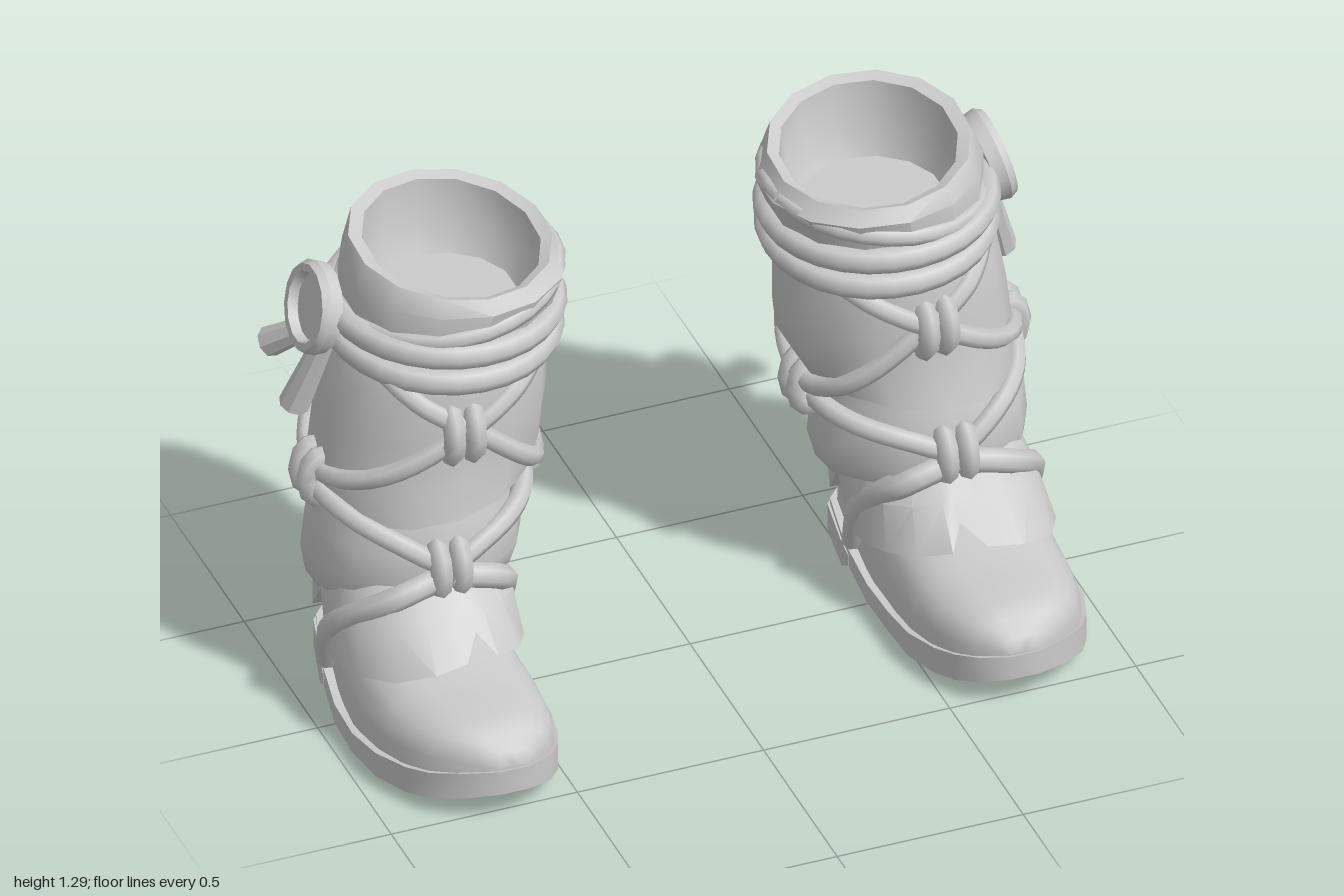
import * as THREE from 'three';
import { toCreasedNormals } from 'three/addons/utils/BufferGeometryUtils.js';

const mat = new THREE.MeshStandardMaterial({ color: 0xcccccc, side: THREE.DoubleSide });
const V = (x, y, z) => new THREE.Vector3(x, y, z);
const SIDES = 14;

function add(group, name, geo, crease = 0.7) {
  const m = new THREE.Mesh(crease ? toCreasedNormals(geo, crease) : geo, mat);
  m.name = name;
  group.add(m);
  return m;
}

// Skin a list of closed rings, with optional fans over the ends
function loft(rings, capStart = false, capEnd = false) {
  const n = rings[0].length, pos = [], idx = [];
  rings.forEach(r => r.forEach(p => pos.push(p.x, p.y, p.z)));
  for (let i = 0; i < rings.length - 1; i++)
    for (let j = 0; j < n; j++) {
      const a = i * n + j, b = i * n + (j + 1) % n;
      idx.push(a, b, b + n, a, b + n, a + n);
    }
  const cap = (ri, flip) => {
    const c = rings[ri].reduce((s, p) => s.add(p), V(0, 0, 0)).divideScalar(n);
    const k = pos.length / 3;
    pos.push(c.x, c.y, c.z);
    for (let j = 0; j < n; j++) {
      const a = ri * n + j, b = ri * n + (j + 1) % n;
      flip ? idx.push(k, b, a) : idx.push(k, a, b);
    }
  };
  if (capStart) cap(0, true);
  if (capEnd) cap(rings.length - 1, false);
  const g = new THREE.BufferGeometry();
  g.setAttribute('position', new THREE.Float32BufferAttribute(pos, 3));
  g.setIndex(idx);
  g.computeVertexNormals();
  return g;
}

// Horizontal section [y, x0, x1, z0, z1, tiltToSide, tiltToFront]; angle 0 = front, 90 = outer side
function onSection([y, x0, x1, z0, z1, tx = 0, tz = 0], a, off = 0) {
  const s = Math.sin(a), c = Math.cos(a);
  return V((x0 + x1) / 2 + ((x1 - x0) / 2 + off) * s, y + tx * s + tz * c, (z0 + z1) / 2 + ((z1 - z0) / 2 + off) * c);
}
const ring = sec => Array.from({ length: SIDES }, (_, i) => onSection(sec, i / SIDES * Math.PI * 2));

const LOWER = [
  [0.29, 0.47, 0.92, -0.38, 0.05, 0, 0.08], [0.33, 0.42, 0.95, -0.42, 0.075, 0, 0.05],
  [0.4, 0.40, 0.96, -0.445, 0.085, 0, 0.02], [0.5, 0.41, 0.95, -0.435, 0.08],
  [0.58, 0.43, 0.92, -0.425, 0.06], [0.66, 0.43, 0.9, -0.41, 0.035]];
const UPPER = [
  [0.57, 0.43, 0.89, -0.42, 0.04, -0.03], [0.6, 0.37, 0.935, -0.5, 0.09, -0.04],
  [0.69, 0.33, 0.93, -0.49, 0.07, -0.02], [0.8, 0.32, 0.915, -0.485, 0.062],
  [0.93, 0.32, 0.89, -0.485, 0.065], [1.0, 0.33, 0.86, -0.47, 0.05]];
const CUFF = [
  [0.98, 0.33, 0.86, -0.46, 0.05], [1.1, 0.3, 0.85, -0.465, 0.065],
  [1.19, 0.27, 0.85, -0.48, 0.08, 0.01, 0], [1.255, 0.305, 0.82, -0.47, 0.055, 0.018, -0.028],
  [1.245, 0.335, 0.785, -0.44, 0.03, 0.018, -0.028], [1.14, 0.345, 0.79, -0.43, 0.02], [1.07, 0.39, 0.76, -0.4, -0.03]];

// Point on the leg surface at an angle (degrees) and height
const PROFILE = [...LOWER.slice(0, 4), ...UPPER.slice(1)].map(s => s.slice(0, 5));
function legPoint(deg, y, off) {
  let i = 0;
  while (i < PROFILE.length - 2 && y > PROFILE[i + 1][0]) i++;
  const [p, q] = [PROFILE[i], PROFILE[i + 1]];
  const t = (y - p[0]) / (q[0] - p[0]);
  return onSection(p.map((v, k) => v + (q[k] - v) * t), deg * Math.PI / 180, off);
}

function tube(group, name, pts, r, closed = false, segs = 16) {
  add(group, name, new THREE.TubeGeometry(new THREE.CatmullRomCurve3(pts, closed), segs, r, 7, closed), 0);
}

// Cord running over the leg through [degrees, height] points
function legCord(group, pts, side, drop) {
  const path = new THREE.CatmullRomCurve3(pts.map(([d, y]) => V(d / 90, y, 0)));
  const over = path.getPoints(12).map(p => {
    const dip = drop * Math.max(0, Math.sin(p.x * Math.PI / 2));
    return legPoint(side * p.x * 90, p.y - dip, -0.003);
  });
  tube(group, 'cord', over, 0.027, false, 24);
}

// Knot: two upright loops wrapped round the crossing cords
function knot(group, deg, y, size = 1.06) {
  const k = new THREE.Group();
  k.name = 'knot';
  k.position.copy(legPoint(deg, y, -0.013));
  k.rotation.y = deg * Math.PI / 180;
  k.scale.setScalar(size);
  for (const s of [-1, 1]) {
    const loop = add(k, 'knotLoop', new THREE.TorusGeometry(0.036, 0.027, 7, 10), 0);
    loop.position.x = s * 0.026;
    loop.rotation.set(0, Math.PI / 2, 0);
    loop.scale.y = 1.4;
  }
  group.add(k);
}

// Shoe stations [z, centre x, half width, bottom, top], heel to toe
const dome = ([z, xc, hw, yb, yt]) => Array.from({ length: 13 }, (_, i) => {
  const a = i / 12 * Math.PI, c = Math.cos(a);
  return V(xc + hw * Math.sign(c) * Math.abs(c) ** 0.65, yb + (yt - yb) * Math.max(0, Math.sin(a)) ** 0.75, z);
});
const slab = ([z, xc, hw, yb, yt]) => [V(xc + hw, yb, z), V(xc + hw, yt, z), V(xc - hw, yt, z), V(xc - hw, yb, z)];

function shoe(g) {
  add(g, 'shoeUpper', loft([
    [-0.39, 0.69, 0.12, 0.08, 0.3], [-0.33, 0.69, 0.165, 0.08, 0.33], [-0.2, 0.7, 0.195, 0.08, 0.33],
    [-0.05, 0.71, 0.216, 0.06, 0.3], [0.1, 0.72, 0.225, 0.06, 0.265], [0.25, 0.715, 0.222, 0.07, 0.24],
    [0.35, 0.71, 0.204, 0.09, 0.238], [0.43, 0.705, 0.172, 0.11, 0.236], [0.49, 0.695, 0.125, 0.13, 0.225],
    [0.525, 0.69, 0.07, 0.14, 0.188], [0.54, 0.687, 0.04, 0.145, 0.16]].map(dome), true, true), 0.8);
  add(g, 'sole', loft([
    [-0.4, 0.69, 0.125, 0.05, 0.095], [-0.34, 0.69, 0.18, 0.05, 0.093], [-0.2, 0.7, 0.215, 0.045, 0.085],
    [-0.13, 0.705, 0.228, 0.03, 0.08], [0, 0.715, 0.24, 0.005, 0.06], [0.14, 0.72, 0.243, 0.007, 0.065],
    [0.27, 0.715, 0.236, 0.015, 0.085], [0.38, 0.71, 0.205, 0.03, 0.105], [0.45, 0.705, 0.172, 0.045, 0.122],
    [0.51, 0.69, 0.115, 0.065, 0.14], [0.55, 0.685, 0.04, 0.082, 0.15]].map(slab), true, true), 0.6);
  add(g, 'heel', loft([
    [-0.405, 0.69, 0.13, 0, 0.08], [-0.34, 0.69, 0.187, 0, 0.078], [-0.18, 0.7, 0.222, 0, 0.07],
    [-0.13, 0.705, 0.23, 0.032, 0.066]].map(slab), true, true), 0.6);

  // Jagged ankle flap flaring over the shoe
  const edge = [
    [0.65, 0.325, 0.19], [0.7, 0.285, 0.26], [0.79, 0.28, 0.275], [0.88, 0.25, 0.225], [0.94, 0.215, 0.11],
    [0.955, 0.19, 0], [0.945, 0.175, -0.08], [0.915, 0.285, -0.19], [0.9, 0.165, -0.29], [0.82, 0.17, -0.4],
    [0.69, 0.18, -0.435], [0.56, 0.17, -0.4], [0.49, 0.165, -0.29], [0.47, 0.285, -0.19], [0.465, 0.175, -0.08],
    [0.465, 0.19, 0], [0.485, 0.22, 0.1], [0.535, 0.25, 0.19], [0.61, 0.275, 0.245]].map(p => V(...p));
  const top = edge.map(p => onSection([0.4, 0.46, 0.91, -0.4, 0.075, 0, 0.03], Math.atan2((p.x - 0.69) / 0.25, (p.z + 0.16) / 0.3)));
  const middle = edge.map((p, i) => p.clone().lerp(top[i], 0.5).add(V((p.x - 0.69) * 0.05, 0.012, 0)));
  const inner = edge.map(p => V(0.69 + (p.x - 0.69) * 0.9, p.y + 0.01, -0.1 + (p.z + 0.1) * 0.92));
  add(g, 'ankleFlap', loft([inner, edge, middle, top]), 0.6);
}

function boot() {
  const g = new THREE.Group();
  shoe(g);
  add(g, 'lowerLeg', loft(LOWER.map(ring)));
  add(g, 'upperLeg', loft(UPPER.map(ring)));
  add(g, 'cuffAndLining', loft(CUFF.map(ring), false, true));

  // Bands wound round the cuff
  for (const sec of [
    [1.015, 0.31, 0.86, -0.48, 0.06, 0.01, -0.02], [1.085, 0.305, 0.86, -0.48, 0.07, 0.01, -0.005],
    [1.145, 0.3, 0.84, -0.465, 0.06, -0.04, -0.01]])
    tube(g, 'cuffBand', ring(sec), sec[0] > 1.1 ? 0.026 : 0.035, true, 28);

  // Net of cords on the outer and inner sides
  for (const [side, drop] of [[1, 0], [-1, 0.05]]) {
    legCord(g, [[0, 0.85], [45, 0.71], [90, 0.655], [135, 0.72], [180, 0.88]], side, drop);
    legCord(g, [[0, 0.46], [35, 0.55], [90, 0.605], [140, 0.57], [180, 0.51]], side, drop);
    legCord(g, [[0, 0.85], [30, 0.94], [52, 1.0]], side, 0);
    legCord(g, [[180, 0.88], [150, 0.96], [130, 1.0]], side, 0);
  }
  for (const [d, y] of [[4, 0.84], [0, 0.455], [90, 0.63], [-90, 0.58], [180, 0.88]]) knot(g, d, y);
  knot(g, 180, 0.51, 0.75);

  // Straps from the lower knot down to the sole
  tube(g, 'ankleStrap', [V(0.69, 0.44, 0.085), V(0.83, 0.4, 0.085), V(0.938, 0.27, -0.045), V(0.91, 0.09, -0.155)], 0.033);
  tube(g, 'ankleStrap', [V(0.68, 0.44, 0.085), V(0.55, 0.4, 0.08), V(0.482, 0.27, -0.05), V(0.5, 0.09, -0.155)], 0.033);

  // Round clasp with a raised rim
  const rim = [[0, -0.025], [0.115, -0.025], [0.122, 0.01], [0.112, 0.03], [0.092, 0.03], [0.085, 0.005], [0, 0.005]];
  const clasp = add(g, 'clasp', new THREE.LatheGeometry(rim.map(p => new THREE.Vector2(...p)), 14), 0.6);
  clasp.position.set(0.905, 1.085, -0.265);
  clasp.rotation.z = -THREE.MathUtils.degToRad(76);

  // Flared cord ends hanging below the clasp
  for (const [a, b] of [[V(0.89, 1, -0.235), V(0.95, 0.785, -0.29)], [V(0.88, 1, -0.31), V(0.965, 0.895, -0.42)]]) {
    const dir = b.clone().sub(a);
    const end = add(g, 'cordEnd', new THREE.CylinderGeometry(0.04, 0.028, dir.length(), 8));
    end.position.copy(a).addScaledVector(dir, 0.5);
    end.quaternion.setFromUnitVectors(V(0, 1, 0), dir.normalize());
  }
  return g;
}

export function createModel() {
  const model = new THREE.Group();
  model.name = 'boots';
  const left = boot(), right = boot();
  left.name = 'leftBoot';
  right.name = 'rightBoot';
  right.scale.x = -1;
  model.add(left, right);
  return model;
}
